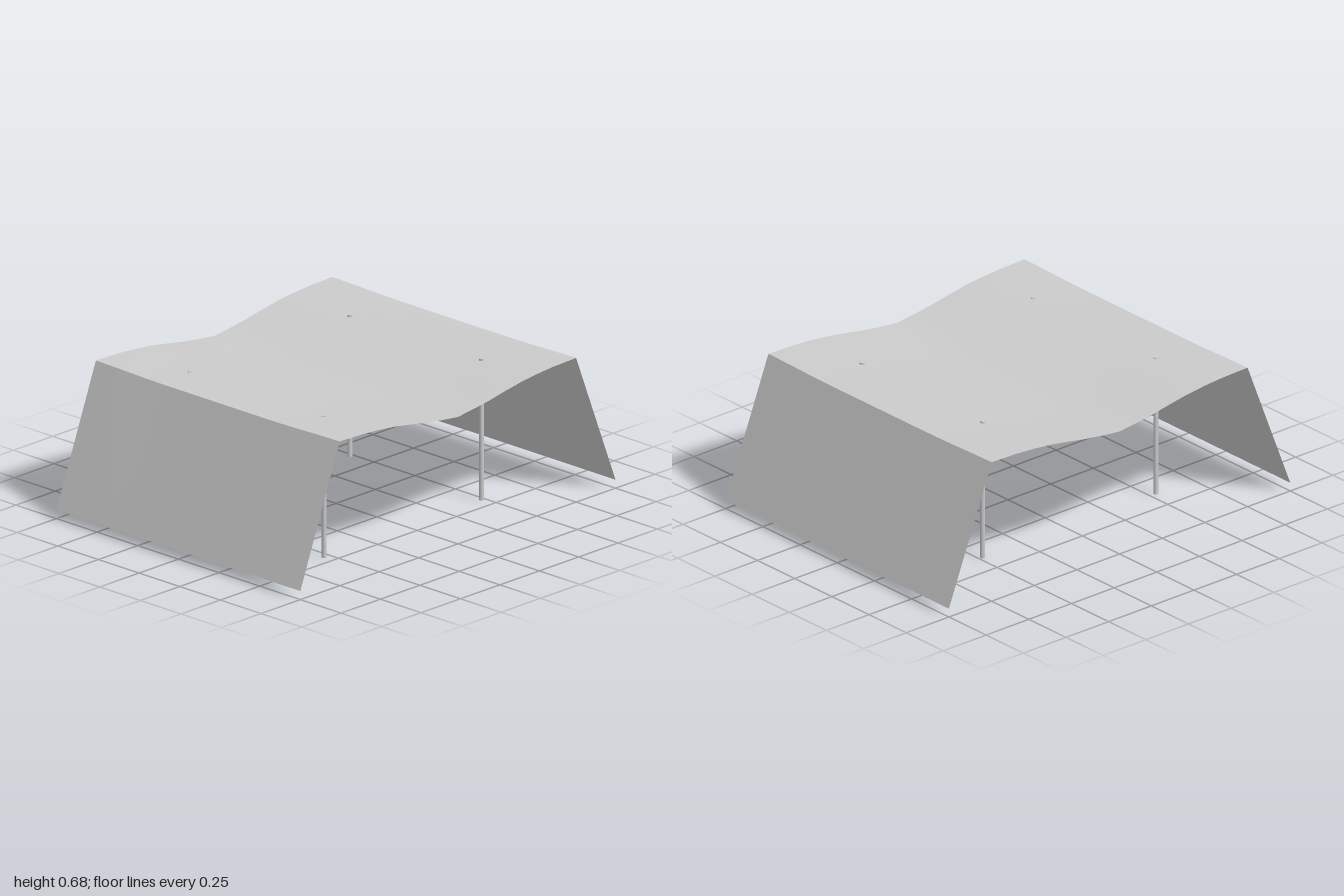
import * as THREE from 'three';

const HALF = 0.75;

// Half of the roof profile across x, valley to ridge: [x, y]
const PROFILE = [[0, 0.597], [0.1, 0.608], [0.2, 0.622], [0.3, 0.64], [0.4, 0.656], [0.5, 0.667], [0.6, 0.674], [HALF, 0.678]];

// Slight sag of the cloth towards the middle of its length
const sag = (z) => -0.008 * (1 - THREE.MathUtils.smoothstep(Math.abs(z), 0.35, HALF));

// Cloth sheet lofted along z from a cross-section of [x, y, sagWeight]
function sheet(name, section, material) {
  const rows = 10, n = section.length - 1;
  const geometry = new THREE.PlaneGeometry(1, 1, n, rows);
  const p = geometry.attributes.position;
  for (let r = 0; r <= rows; r++) {
    const z = -HALF + (2 * HALF * r) / rows;
    section.forEach(([x, y, weight = 1], c) => p.setXYZ(r * (n + 1) + c, x, y + weight * sag(z), z));
  }
  geometry.computeVertexNormals();
  const mesh = new THREE.Mesh(geometry, material);
  mesh.name = name;
  return mesh;
}

export function createModel() {
  const model = new THREE.Group();
  model.name = 'canopyShelter';
  const cloth = new THREE.MeshStandardMaterial({ color: 0xcccccc, side: THREE.DoubleSide });
  const metal = new THREE.MeshStandardMaterial({ color: 0xcccccc });

  // Roof with a central valley
  const roof = [...PROFILE.slice(1).reverse().map(([x, y]) => [-x, y]), ...PROFILE];
  model.add(sheet('roof', roof, cloth));

  // Sloping side flaps, straight along the bottom
  model.add(sheet('leftFlap', [[HALF, 0.678, 1], [1, 0.04, 0]], cloth));
  model.add(sheet('rightFlap', [[-1, 0.04, 0], [-HALF, 0.678, 1]], cloth));

  // Four poles, their tips just through the cloth
  const height = 0.666;
  const poleGeometry = new THREE.CylinderGeometry(0.011, 0.011, height, 8);
  const poles = {
    frontLeftPole: [0.48, 0.43],
    backLeftPole: [0.48, -0.38],
    frontRightPole: [-0.535, 0.445],
    backRightPole: [-0.535, -0.38],
  };
  for (const [name, [x, z]] of Object.entries(poles)) {
    const pole = new THREE.Mesh(poleGeometry, metal);
    pole.name = name;
    pole.position.set(x, height / 2, z);
    model.add(pole);
  }
  return model;
}
